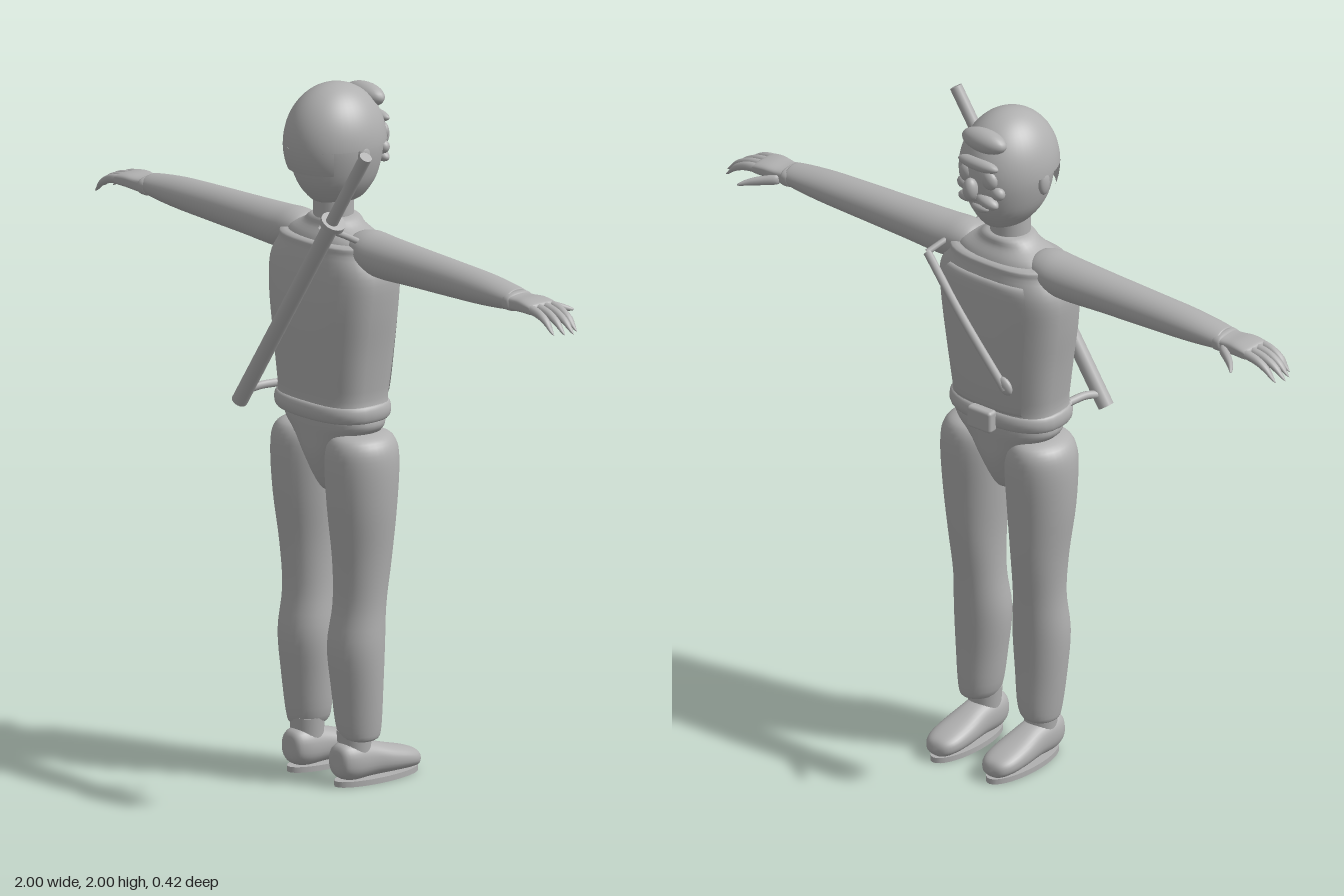
import * as THREE from 'three';
import { mergeVertices } from 'three/addons/utils/BufferGeometryUtils.js';
import { RoundedBoxGeometry } from 'three/addons/geometries/RoundedBoxGeometry.js';

const grey = new THREE.MeshStandardMaterial({ color: 0xb0b0b0, side: THREE.DoubleSide });
grey.name = 'plain grey';

// Smooth skin through sections [y, halfX, halfZ, centreX, centreZ]; n > 2 squares the outline.
function loft(sections, { n = 2, from = 0, to = Math.PI * 2, steps = 4, segs = 32 } = {}) {
  const at = (i, k) => sections[Math.min(Math.max(i, 0), sections.length - 1)][k] ?? 0;
  const spline = (i, t, k) => {
    const [a, b, c, d] = [at(i - 1, k), at(i, k), at(i + 1, k), at(i + 2, k)];
    return b + 0.5 * t * (c - a + t * (2 * a - 5 * b + 4 * c - d + t * (3 * (b - c) + d - a)));
  };
  const pos = [], index = [], rows = (sections.length - 1) * steps;
  const bend = (v) => Math.sign(v) * Math.abs(v) ** (2 / n);
  for (let r = 0; r <= rows; r++) {
    const i = Math.min(Math.floor(r / steps), sections.length - 2), t = r / steps - i;
    const [y, rx, rz, cx, cz] = [0, 1, 2, 3, 4].map((k) => spline(i, t, k));
    for (let j = 0; j <= segs; j++) {
      const a = from + ((to - from) * j) / segs;
      pos.push(cx + Math.max(rx, 0) * bend(Math.cos(a)), y, cz + Math.max(rz, 0) * bend(Math.sin(a)));
      if (r < rows && j < segs) {
        const p = r * (segs + 1) + j, q = p + segs + 1;
        index.push(p, q, p + 1, q, q + 1, p + 1);
      }
    }
  }
  let g = new THREE.BufferGeometry();
  g.setAttribute('position', new THREE.Float32BufferAttribute(pos, 3));
  g.setIndex(index);
  g = mergeVertices(g, 1e-5);
  g.computeVertexNormals();
  return g;
}

export function createModel() {
  const model = new THREE.Group();
  model.name = 'figure';
  const add = (name, geo, x = 0, y = 0, z = 0, parent = model) => {
    const m = new THREE.Mesh(geo, grey);
    m.name = name;
    m.position.set(x, y, z);
    parent.add(m);
    return m;
  };
  const blob = (name, x, y, z, rx, ry, rz, roll = 0) => {
    const m = add(name, new THREE.SphereGeometry(1, 24, 16), x, y, z);
    m.scale.set(rx, ry, rz);
    m.rotation.z = roll;
    return m;
  };
  const tube = (name, pts, r) => add(name, new THREE.TubeGeometry(
    new THREE.CatmullRomCurve3(pts.map((p) => new THREE.Vector3(...p)), false, 'centripetal'), 32, r, 8));

  // Torso, chest panel following it, yoke and neck
  const torso = [[1.06, 0.168, 0.105, 0, 0.01], [1.12, 0.172, 0.112, 0, 0.007], [1.25, 0.188, 0.122, 0, 0.005],
    [1.38, 0.207, 0.125, 0, 0.004], [1.48, 0.211, 0.121, 0, 0], [1.54, 0.178, 0.11, 0, 0], [1.565, 0.16, 0.098, 0, 0]];
  add('torso', loft([[1.05, 0, 0], ...torso, [1.567, 0, 0]], { n: 2.7 }));
  const panel = torso.slice(1, 5).map(([y, rx, rz, cx, cz]) => [y, rx + 0.006, rz + 0.008, cx, cz]);
  add('chestPanel', loft([[1.118, 0.165, 0.105, 0, 0.007], ...panel, [1.515, 0.2, 0.122], [1.52, 0.18, 0.105]],
    { n: 2.7, from: Math.PI * 1.3, to: Math.PI * 1.7 }));
  add('yoke', loft([[1.55, 0.165, 0.1], [1.575, 0.15, 0.088], [1.6, 0.1, 0.07], [1.625, 0.062, 0.058], [1.63, 0, 0]], { n: 2.3 }));
  add('neck', new THREE.CylinderGeometry(0.056, 0.058, 0.14, 32), 0, 1.66, 0.005);

  // Belt, buckle and hips
  add('belt', loft([[1.055, 0.16, 0.1, 0, 0.008], [1.058, 0.178, 0.117, 0, 0.008], [1.08, 0.184, 0.124, 0, 0.008],
    [1.102, 0.178, 0.117, 0, 0.008], [1.106, 0.16, 0.1, 0, 0.008]], { n: 2.5 }));
  add('buckle', new RoundedBoxGeometry(0.085, 0.066, 0.034, 3, 0.01), 0, 1.08, -0.122);
  add('hips', loft([[0.82, 0, 0], [0.835, 0.022, 0.04], [0.88, 0.045, 0.07], [0.94, 0.08, 0.092], [1.0, 0.135, 0.1],
    [1.035, 0.168, 0.104], [1.065, 0.165, 0.105]], { n: 2.2 }));

  // Head, cap of hair and ears
  add('head', loft([[1.66, 0, 0, 0, -0.012], [1.664, 0.045, 0.065, 0, -0.01], [1.69, 0.075, 0.098, 0, -0.007],
    [1.74, 0.104, 0.126, 0, -0.005], [1.82, 0.122, 0.14, 0, -0.004], [1.89, 0.114, 0.132], [1.95, 0.08, 0.094], [1.98, 0, 0]]));
  const cap = (name, phi, phiLen, theta, thetaLen) =>
    add(name, new THREE.SphereGeometry(1, 40, 20, phi, phiLen, theta, thetaLen), 0, 1.832, 0).scale.set(0.133, 0.168, 0.153);
  cap('hairCap', 0, Math.PI * 2, 0, Math.PI / 2);
  cap('backHair', 0.66, Math.PI - 1.32, Math.PI / 2, 0.42);
  for (const s of [-1, 1]) blob('ear', s * 0.124, 1.81, 0, 0.013, 0.036, 0.02);

  // Face
  blob('hairTuft', 0, 1.947, -0.11, 0.075, 0.034, 0.036);
  blob('brow', 0, 1.885, -0.137, 0.07, 0.019, 0.022);
  blob('nose', 0, 1.82, -0.172, 0.022, 0.034, 0.022);
  blob('lowerLip', 0, 1.745, -0.127, 0.03, 0.014, 0.016);
  for (const s of [-1, 1]) {
    blob('eye', s * 0.04, 1.845, -0.136, 0.026, 0.028, 0.018);
    blob('cheek', s * 0.06, 1.805, -0.124, 0.022, 0.02, 0.018);
    blob('moustache', s * 0.032, 1.776, -0.136, 0.038, 0.018, 0.02, s * -0.2);
  }

  for (const s of [-1, 1]) {
    // Legs
    const x = s * 0.115;
    add('leg', loft([[0.125, 0, 0, x, 0], [0.13, 0.04, 0.045, x, 0.003], [0.16, 0.06, 0.064, x * 0.93, 0.004],
      [0.28, 0.075, 0.072, x * 0.92, 0.01], [0.4, 0.083, 0.079, x * 0.91, 0.013], [0.52, 0.075, 0.075, x * 0.93, 0.002],
      [0.65, 0.08, 0.086, x * 0.97, -0.003], [0.8, 0.095, 0.1, x, 0], [0.93, 0.1, 0.108, x, 0],
      [0.99, 0.086, 0.1, x, 0], [1.015, 0.05, 0.07, x, 0], [1.022, 0, 0, x, 0]]));
    // Ankle, shoe and sole
    const fx = s * 0.1;
    add('ankle', new THREE.CylinderGeometry(0.05, 0.045, 0.07, 24), fx, 0.12, 0.015);
    const shoe = loft([[-0.082, 0, 0, 0, 0.075], [-0.078, 0.035, 0.04, 0, 0.073], [-0.04, 0.05, 0.056, 0, 0.071],
      [0.03, 0.05, 0.05, 0, 0.066], [0.1, 0.056, 0.04, 0, 0.056], [0.165, 0.053, 0.031, 0, 0.047],
      [0.2, 0.034, 0.022, 0, 0.04], [0.211, 0, 0, 0, 0.036]], { n: 2.3 });
    shoe.rotateX(-Math.PI / 2);
    add('shoe', shoe, fx);
    const sole = new THREE.CylinderGeometry(1, 1, 0.016, 36);
    sole.scale(0.053, 1, 0.147);
    add('sole', sole, fx, 0.009, -0.065);

    // Arms lie along x, so each loft is turned on its side
    const sideways = (name, secs, opts) => {
      const g = loft(secs.map(([d, ry, rz, y, z = 0]) => [d, ry, rz, -s * y, z]), opts);
      g.rotateZ(-s * Math.PI / 2);
      return add(name, g);
    };
    sideways('arm', [[0.1, 0, 0, 1.55], [0.105, 0.035, 0.05, 1.555], [0.15, 0.057, 0.067, 1.548], [0.22, 0.061, 0.068, 1.541],
      [0.35, 0.056, 0.062, 1.541], [0.5, 0.051, 0.057, 1.541], [0.65, 0.044, 0.054, 1.541], [0.76, 0.032, 0.047, 1.54],
      [0.775, 0.025, 0.035, 1.54], [0.777, 0, 0, 1.54]]);
    sideways('glove', [[0.755, 0, 0, 1.537], [0.757, 0.022, 0.042, 1.537], [0.8, 0.021, 0.043, 1.537], [0.84, 0.02, 0.049, 1.54],
      [0.875, 0.017, 0.05, 1.538], [0.885, 0.011, 0.045, 1.536], [0.887, 0, 0, 1.535]], { n: 3.5 });
    sideways('cuff', [[0.757, 0.015, 0.03, 1.537], [0.76, 0.026, 0.046, 1.537], [0.785, 0.026, 0.046, 1.537], [0.788, 0.015, 0.03, 1.537]], { n: 2.6 });
    // Drooping fingers and thumb
    [0.975, 0.992, 1.0, 0.985].forEach((tip, k) => {
      const z = 0.0375 - k * 0.025, l = tip - 0.87;
      sideways('finger', [[0.865, 0, 0, 1.54, z], [0.87, 0.012, 0.012, 1.54, z], [0.87 + l * 0.4, 0.013, 0.0125, 1.532, z],
        [0.87 + l * 0.72, 0.011, 0.011, 1.514, z], [tip - 0.012, 0.006, 0.006, 1.494, z], [tip, 0, 0, 1.484, z]], { segs: 12 });
    });
    sideways('thumb', [[0.79, 0, 0, 1.53, -0.035], [0.795, 0.014, 0.014, 1.53, -0.04], [0.83, 0.014, 0.015, 1.525, -0.062],
      [0.86, 0.011, 0.012, 1.52, -0.085], [0.88, 0.005, 0.007, 1.515, -0.106], [0.885, 0, 0, 1.513, -0.112]], { segs: 12 });
  }

  // Sword slung across the shoulders, hilt at the upper +x side
  const sword = new THREE.Group();
  sword.name = 'sword';
  sword.position.set(-0.208, 1.067, 0.17);
  sword.rotation.z = -Math.atan2(0.537, 0.812);
  model.add(sword);
  add('scabbard', new THREE.CylinderGeometry(0.023, 0.023, 0.71, 20), 0, 0.355, 0, sword);
  add('guard', new THREE.CylinderGeometry(0.036, 0.036, 0.016, 24), 0, 0.716, 0, sword);
  add('hilt', new THREE.CylinderGeometry(0.018, 0.018, 0.265, 20), 0, 0.852, 0.006, sword);

  // Carrying strap over the shoulder and across the chest
  tube('shoulderStrap', [[0.13, 1.642, 0.165], [0.145, 1.605, 0.09], [0.155, 1.575, 0.03], [0.175, 1.56, -0.05], [0.2, 1.532, -0.115]], 0.009);
  tube('chestStrap', [[0.2, 1.532, -0.115], [0.06, 1.385, -0.136], [-0.095, 1.205, -0.135]], 0.012);
  blob('strapEnd', -0.09, 1.215, -0.132, 0.03, 0.022, 0.013, 0.8);
  tube('lowerStrap', [[-0.19, 1.1, 0.165], [-0.175, 1.11, 0.12], [-0.165, 1.11, 0.06]], 0.012);
  return model;
}
